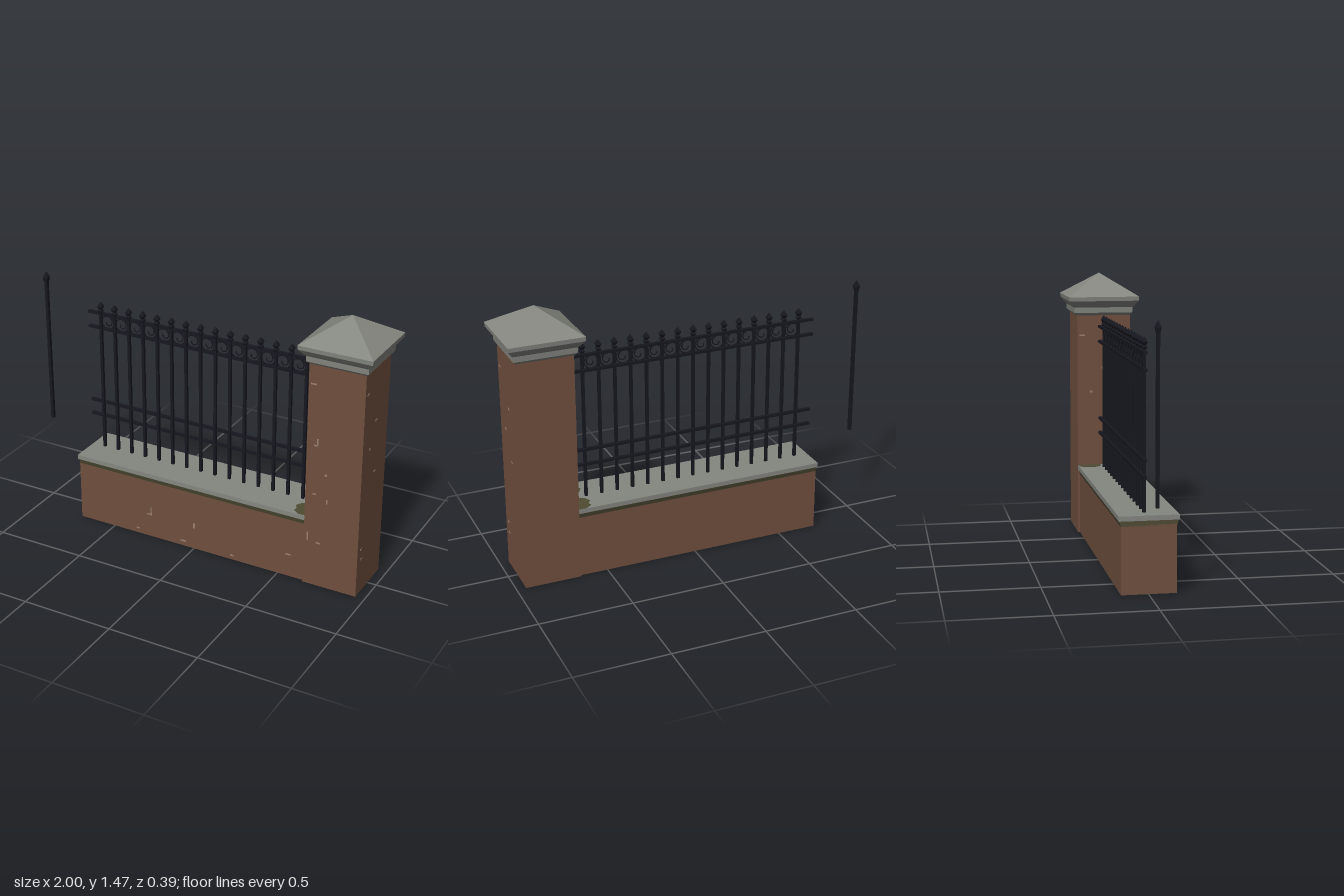
import * as THREE from 'three';

const material = (name, color, side = THREE.FrontSide) => {
  const m = new THREE.MeshStandardMaterial({ color });
  m.name = name;
  m.side = side;
  return m;
};

// Square-section turned part; profile is [half width, y] from bottom to top
function squareLathe(profile) {
  const pts = profile.map(([h, y]) => new THREE.Vector2(h * Math.SQRT2, y));
  const g = new THREE.LatheGeometry(pts, 4, Math.PI / 4).toNonIndexed();
  g.computeVertexNormals();
  return g;
}

export function createModel() {
  const model = new THREE.Group();
  model.name = 'fenceWithPillar';
  const brick = material('brick', 0x70503f);
  const stone = material('stone', 0x858780);
  const iron = material('iron', 0x171720);
  const moss = material('moss', 0x4f4c34);
  const chip = material('chippedBrick', 0x9a8070);

  const add = (name, geometry, mat, x = 0, y = 0, z = 0, parent = model) => {
    const mesh = new THREE.Mesh(geometry, mat);
    mesh.name = name;
    mesh.position.set(x, y, z);
    parent.add(mesh);
    return mesh;
  };
  const group = (name) => {
    const g = new THREE.Group();
    g.name = name;
    model.add(g);
    return g;
  };
  const box = (w, h, d) => new THREE.BoxGeometry(w, h, d);

  // Brick pillar with a stepped pyramid cap
  add('pillar', box(0.3, 1.25, 0.3), brick, 0.8, 0.625, 0.003);
  add('pillarCap', squareLathe([
    [0, 1.24], [0.15, 1.24], [0.163, 1.255], [0.165, 1.285], [0.172, 1.292],
    [0.195, 1.322], [0.197, 1.345], [0, 1.47],
  ]), stone, 0.8, 0, 0);

  // Low brick wall, mossy chamfer and stone coping
  add('lowWall', box(1.365, 0.345, 0.276), brick, -0.0325, 0.1725, 0.002);
  const chamfer = new THREE.Shape();
  chamfer.moveTo(-0.138, 0.338);
  chamfer.lineTo(0.138, 0.338);
  chamfer.lineTo(0.148, 0.37);
  chamfer.lineTo(-0.148, 0.37);
  const chamferGeo = new THREE.ExtrudeGeometry(chamfer, { depth: 1.365, bevelEnabled: false });
  add('mossyChamfer', chamferGeo, moss, -0.715, 0, 0.002).rotation.y = Math.PI / 2;
  add('coping', box(1.37, 0.025, 0.3), stone, -0.035, 0.3785, 0.002);

  // Moss growing where the coping meets the pillar
  for (const s of [-1, 1]) {
    const patch = new THREE.Shape();
    patch.moveTo(0.65, 0.02);
    patch.quadraticCurveTo(0.6, 0.02, 0.58, 0.045);
    patch.lineTo(0.565, 0.075);
    patch.quadraticCurveTo(0.59, 0.1, 0.575, 0.12);
    patch.lineTo(0.61, 0.146);
    patch.lineTo(0.65, 0.146);
    const g = new THREE.ExtrudeGeometry(patch, { depth: 0.002, bevelEnabled: false });
    const m = add('mossPatch', g, moss, 0, s < 0 ? 0.3912 : 0.3932, 0);
    m.rotation.x = s < 0 ? -Math.PI / 2 : Math.PI / 2;
  }

  // Horizontal rails
  const rails = group('rails');
  for (const y of [0.577, 0.66, 1.095, 1.178])
    add('rail', box(1.375, 0.014, 0.018), iron, -0.0375, y, -0.02, rails);

  // Upright bars with arrow finials
  const bars = group('bars');
  const barGeo = squareLathe([
    [0.0075, 0.385], [0.0075, 1.188], [0.012, 1.194], [0.012, 1.2], [0.007, 1.206],
    [0.0145, 1.222], [0.0075, 1.236], [0, 1.248],
  ]);
  const count = 15, first = -0.645, step = 0.0863;
  for (let i = 0; i < count; i++)
    add('bar', barGeo, iron, first + i * step, 0, -0.0105, bars);

  // Spiral scrolls between the upper rails
  const scrolls = group('scrolls');
  const spiral = [];
  for (let i = 0; i <= 36; i++) {
    const t = i / 36;
    const r = t < 0.5 ? 0.037 : 0.037 - 0.029 * (t - 0.5) * 2;
    const a = Math.PI * 0.6 - t * Math.PI * 3.7;
    spiral.push(new THREE.Vector3(r * Math.cos(a), r * Math.sin(a), 0));
  }
  const scrollGeo = new THREE.TubeGeometry(new THREE.CatmullRomCurve3(spiral), 56, 0.0032, 5);
  for (let i = 0; i < count - 1; i++)
    add('scroll', scrollGeo, iron, first + (i + 0.47) * step, 1.137, -0.016, scrolls);

  // Separate spare spike beside the fence
  add('looseSpike', squareLathe([
    [0, 0.485], [0.0085, 0.485], [0.0085, 1.295], [0.0145, 1.322], [0.009, 1.338], [0, 1.357],
  ]), iron, -0.985, 0, -0.0115);

  // Pale chips in the brick faces: [x, y, width, height]
  const chips = group('brickChips');
  for (const [x, y, w, h] of [
    [0.678, 1.14, 0.03, 0.008], [0.71, 0.83, 0.008, 0.035], [0.7, 0.808, 0.02, 0.007],
    [0.76, 0.655, 0.012, 0.012], [0.7, 0.535, 0.02, 0.008], [0.77, 0.505, 0.008, 0.025],
    [0.67, 0.28, 0.008, 0.05], [0.73, 0.255, 0.025, 0.008],
  ]) add('pillarChip', box(w, h, 0.002), chip, x, y, 0.1535, chips);
  for (const [x, y, w, h] of [
    [-0.265, 0.155, 0.008, 0.05], [-0.28, 0.135, 0.02, 0.007], [0, 0.14, 0.012, 0.03],
    [0.56, 0.13, 0.03, 0.008], [-0.065, 0.03, 0.035, 0.009], [-0.35, 0.03, 0.02, 0.008],
    [0.23, 0.025, 0.02, 0.008],
  ]) add('wallChip', box(w, h, 0.002), chip, x, y, 0.1405, chips);
  for (const [z, y, w, h] of [
    [0.12, 1.13, 0.03, 0.008], [0, 0.945, 0.02, 0.01], [0.07, 0.81, 0.015, 0.012],
    [-0.01, 0.655, 0.02, 0.01], [0.11, 0.26, 0.02, 0.01], [0.1, 0.2, 0.025, 0.008],
  ]) {
    add('pillarSideChip', box(0.002, h, w), chip, 0.9505, y, z, chips);
    add('pillarInnerChip', box(0.002, h, w), chip, 0.6495, y, -z, chips);
  }
  return model;
}
